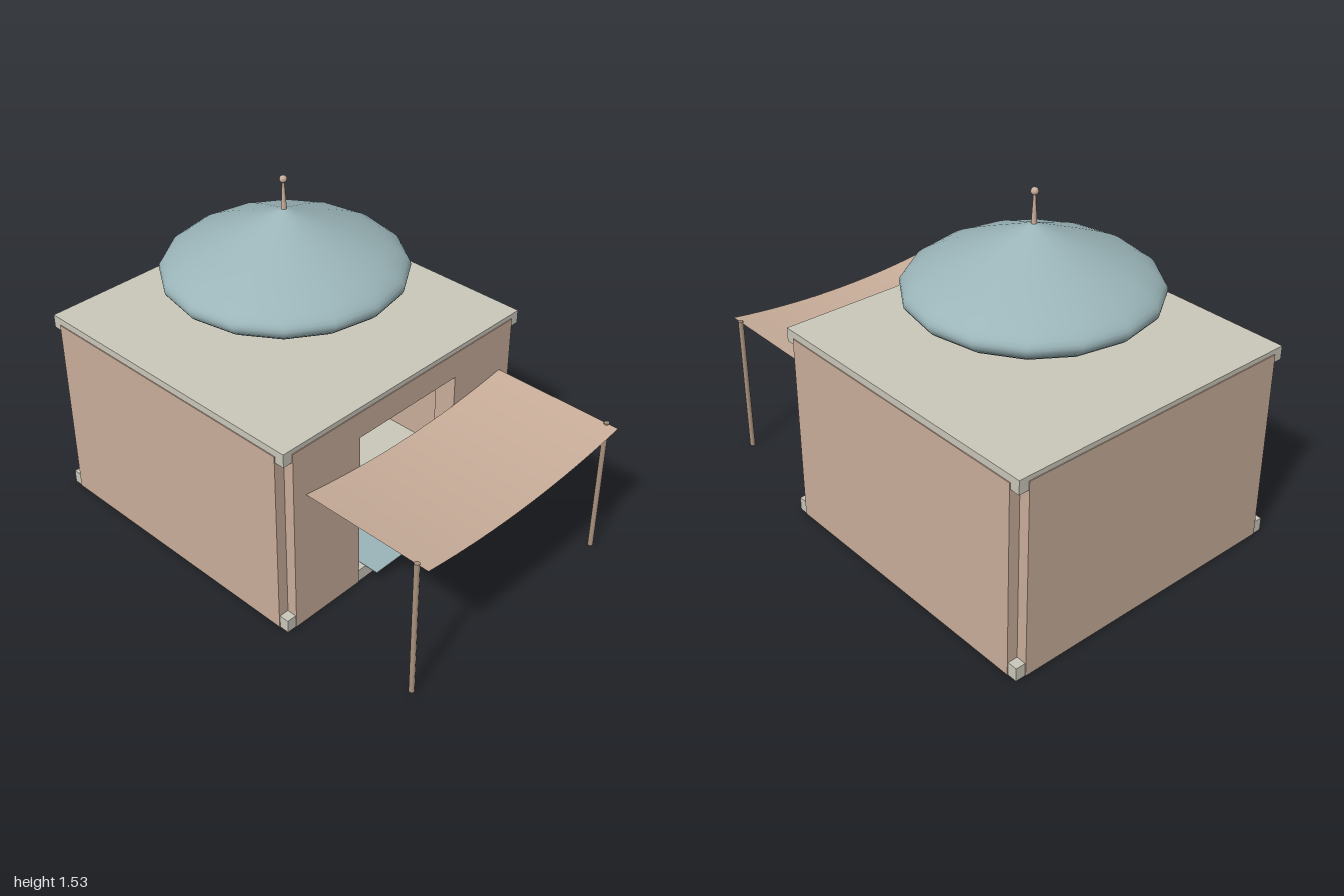
import * as THREE from 'three';

const mat = (name, color, side = THREE.FrontSide) => {
  const m = new THREE.MeshStandardMaterial({ color, side });
  m.name = name;
  return m;
};

export function createModel() {
  const tan = mat('sandstone', 0xc9ae9a);
  const cloth = tan.clone();
  cloth.name = 'sandstone cloth';
  cloth.side = THREE.DoubleSide;
  const cream = mat('pale stone', 0xcac7ba);
  const blue = mat('dusty blue', 0x9bb5b9);
  const brown = mat('pole brown', 0xa9927f);

  const model = new THREE.Group();
  model.name = 'domedHouse';
  const house = new THREE.Group();
  house.name = 'house';
  house.position.z = -0.305;
  model.add(house);

  const add = (parent, name, geometry, material, x = 0, y = 0, z = 0) => {
    const mesh = new THREE.Mesh(geometry, material);
    mesh.name = name;
    mesh.position.set(x, y, z);
    parent.add(mesh);
    return mesh;
  };

  // Floor and roof slabs, whose corners show between the wall panels
  const half = 0.691, out = 0.695, inset = 0.647, thick = 0.1;
  add(house, 'floorSlab', new THREE.BoxGeometry(half * 2, 0.06, half * 2), cream, 0, 0.03, 0);
  add(house, 'roofSlab', new THREE.BoxGeometry(half * 2, 0.06, half * 2), cream, 0, 0.863, 0);

  // Back and side wall panels, stopping short of the corners
  const bottom = 0.002;
  const backHeight = 0.872 - bottom, sideHeight = 0.862 - bottom;
  add(house, 'backWall', new THREE.BoxGeometry(inset * 2, backHeight, thick), tan,
    0, bottom + backHeight / 2, -(out - thick / 2));
  for (const s of [1, -1]) {
    add(house, s > 0 ? 'leftWall' : 'rightWall', new THREE.BoxGeometry(thick, sideHeight, inset * 2), tan,
      s * (out - thick / 2), bottom + sideHeight / 2, 0);
  }

  // Front wall with the doorway cut down to the ground
  const door = 0.285, doorTop = 0.753;
  const wall = new THREE.Shape([
    [-inset, bottom], [-door, bottom], [-door, doorTop], [door, doorTop],
    [door, bottom], [inset, bottom], [inset, 0.872], [-inset, 0.872],
  ].map(([x, y]) => new THREE.Vector2(x, y)));
  add(house, 'frontWall', new THREE.ExtrudeGeometry(wall, { depth: thick, bevelEnabled: false }), tan,
    0, 0, out - thick);

  // Carpet running out through the doorway
  add(model, 'carpet', new THREE.BoxGeometry(0.48, 0.003, 0.95), blue, 0, 0.0605, -0.025);

  // Dome: a wide lens on a 16-sided plan
  const curve = new THREE.SplineCurve([
    [0.03, 0.893], [0.17, 0.943], [0.32, 0.994], [0.43, 1.04], [0.5, 1.086], [0.52, 1.122],
    [0.5, 1.159], [0.43, 1.206], [0.3, 1.266], [0.15, 1.328], [0.001, 1.389],
  ].map(([r, y]) => new THREE.Vector2(r, y)));
  add(house, 'dome', new THREE.LatheGeometry([new THREE.Vector2(0, 0.893), ...curve.getPoints(24)], 16), blue);

  // Finial
  add(house, 'finialRod', new THREE.CylinderGeometry(0.005, 0.012, 0.14, 8), tan, 0, 1.445, 0);
  add(house, 'finialBall', new THREE.SphereGeometry(0.016, 12, 8), tan, 0, 1.516, 0);

  // Canopy: a cloth sagging between its two long edges
  const canopy = new THREE.PlaneGeometry(1.164, 0.61, 16, 1).rotateX(-Math.PI / 2);
  const p = canopy.attributes.position;
  for (let i = 0; i < p.count; i++) p.setY(i, 0.602 + 0.044 * (p.getX(i) / 0.582) ** 2);
  canopy.computeVertexNormals();
  add(model, 'canopy', canopy, cloth, 0, 0, 0.695);

  // Canopy poles
  for (const s of [1, -1]) {
    add(model, s > 0 ? 'leftPole' : 'rightPole', new THREE.CylinderGeometry(0.012, 0.012, 0.65, 8), brown,
      s * 0.58, 0.325, 0.945);
  }
  return model;
}
